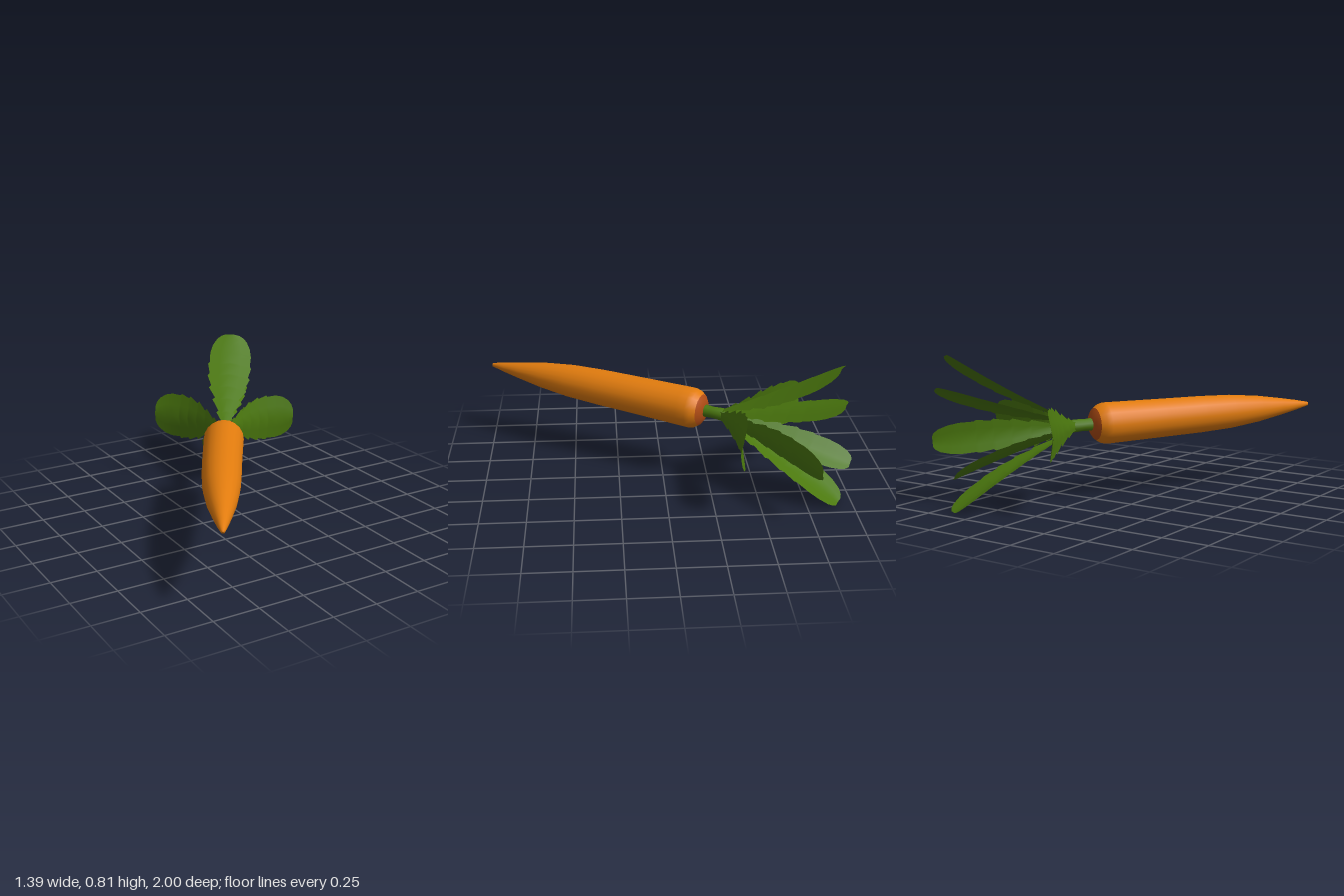
import * as THREE from 'three';

const V = (x, y, z) => new THREE.Vector3(x, y, z);
const TIP = V(-0.69, 0.445, 0.99);
const AXIS = V(0.503, -0.022, -0.864).normalize();
const SIDE = V(0.864, 0, 0.503);

// [position along the leaf, share of half width]: forward-pointing teeth, blunt end
const OUTLINE = [
  [0, 0.16], [0.08, 0.2], [0.16, 0.42], [0.18, 0.34], [0.3, 0.66], [0.32, 0.55],
  [0.43, 0.88], [0.45, 0.78], [0.56, 1], [0.58, 0.91], [0.68, 1.03], [0.7, 0.96],
  [0.8, 0.98], [0.88, 0.9], [0.95, 0.72], [0.985, 0.52], [1, 0.32],
];

// Serrated leaf: a bowed midrib with a shallow fold on both sides
function leafGeometry(base, tip, halfWidth, bow) {
  const dir = tip.clone().sub(base).normalize();
  const inward = AXIS.clone().addScaledVector(dir, -AXIS.dot(dir)).normalize();
  const across = new THREE.Vector3().crossVectors(dir, inward).normalize();
  const control = base.clone().lerp(tip, 0.5).addScaledVector(inward, bow * 2);
  const rib = new THREE.QuadraticBezierCurve3(base, control, tip);
  const lanes = [-1, -0.5, 0, 0.5, 1];
  const pos = [], index = [];
  OUTLINE.forEach(([t, share], i) => {
    const p = rib.getPoint(t);
    const tangent = rib.getTangent(t);
    const up = new THREE.Vector3().crossVectors(across, tangent).normalize();
    for (const s of lanes) {
      const q = p.clone().addScaledVector(across, s * share * halfWidth)
        .addScaledVector(up, Math.abs(s) * share * halfWidth * 0.16);
      pos.push(q.x, q.y, q.z);
    }
    if (i === 0) return;
    for (let j = 0; j < 4; j++) {
      const a = (i - 1) * 5 + j, b = a + 5;
      index.push(a, a + 1, b, a + 1, b + 1, b);
    }
  });
  const geo = new THREE.BufferGeometry();
  geo.setAttribute('position', new THREE.Float32BufferAttribute(pos, 3));
  geo.setIndex(index);
  geo.computeVertexNormals();
  return geo;
}

export function createModel() {
  const model = new THREE.Group();
  model.name = 'carrot';
  const orange = new THREE.MeshStandardMaterial({ color: 0xe27c0e });
  orange.name = 'carrot orange';
  const rust = new THREE.MeshStandardMaterial({ color: 0xb04c14 });
  rust.name = 'crown rust';
  const green = new THREE.MeshStandardMaterial({ color: 0x4b780e, side: THREE.DoubleSide });
  green.name = 'leaf green';

  // Body parts are turned around the long axis, measured from the root tip
  const body = new THREE.Group();
  body.name = 'body';
  const frame = new THREE.Matrix4().makeBasis(
    SIDE, AXIS, new THREE.Vector3().crossVectors(SIDE, AXIS).normalize());
  body.quaternion.setFromRotationMatrix(frame);
  body.position.copy(TIP);
  model.add(body);

  const turned = (name, profile, material, sides) => {
    const geo = new THREE.LatheGeometry(
      profile.map(([r, t]) => new THREE.Vector2(r, t)), sides);
    const p = geo.attributes.position;
    for (let i = 0; i < p.count; i++) { // slight bend of the root
      const k = Math.min(1, Math.max(0, p.getY(i) / 1.4));
      p.setX(i, p.getX(i) - 0.01 * Math.sin(Math.PI * k));
    }
    const mesh = new THREE.Mesh(geo, material);
    mesh.name = name;
    body.add(mesh);
  };
  turned('root', [[0, -0.006], [0.011, 0], [0.03, 0.09], [0.05, 0.2], [0.076, 0.36],
    [0.096, 0.55], [0.104, 0.75], [0.108, 1], [0.113, 1.28], [0.114, 1.335],
    [0.106, 1.365], [0.088, 1.392]], orange, 20);
  turned('crown', [[0.088, 1.392], [0.062, 1.41], [0.03, 1.418], [0, 1.418]], rust, 20);
  turned('stem', [[0.036, 1.405], [0.032, 1.46], [0.036, 1.52], [0.022, 1.56], [0, 1.565]], green, 10);

  // Leaves: tip, half width, bow towards the axis
  const leaves = [
    ['upperLeaf', V(0.46, 0.815, -0.88), 0.13, 0.015],
    ['lowerLeaf', V(0.39, 0.01, -0.925), 0.125, 0.02],
    ['rightLeaf', V(-0.145, 0.42, -0.785), 0.135, 0.045],
    ['leftLeaf', V(0.58, 0.4, -0.36), 0.135, 0.055],
    ['innerUpperLeaf', V(0.525, 0.64, -0.9), 0.085, 0.015],
    ['innerLeftLeaf', V(0.685, 0.33, -0.765), 0.085, 0.03],
    ['innerLowerLeaf', V(0.32, 0.21, -0.995), 0.085, 0.015],
  ];
  const root = TIP.clone().addScaledVector(AXIS, 1.5);
  for (const [name, tip, halfWidth, bow] of leaves) {
    const out = tip.clone().sub(root);
    out.addScaledVector(AXIS, -out.dot(AXIS)).normalize();
    const base = root.clone().addScaledVector(out, 0.018);
    const leaf = new THREE.Mesh(leafGeometry(base, tip, halfWidth, bow), green);
    leaf.name = name;
    model.add(leaf);
  }
  return model;
}
